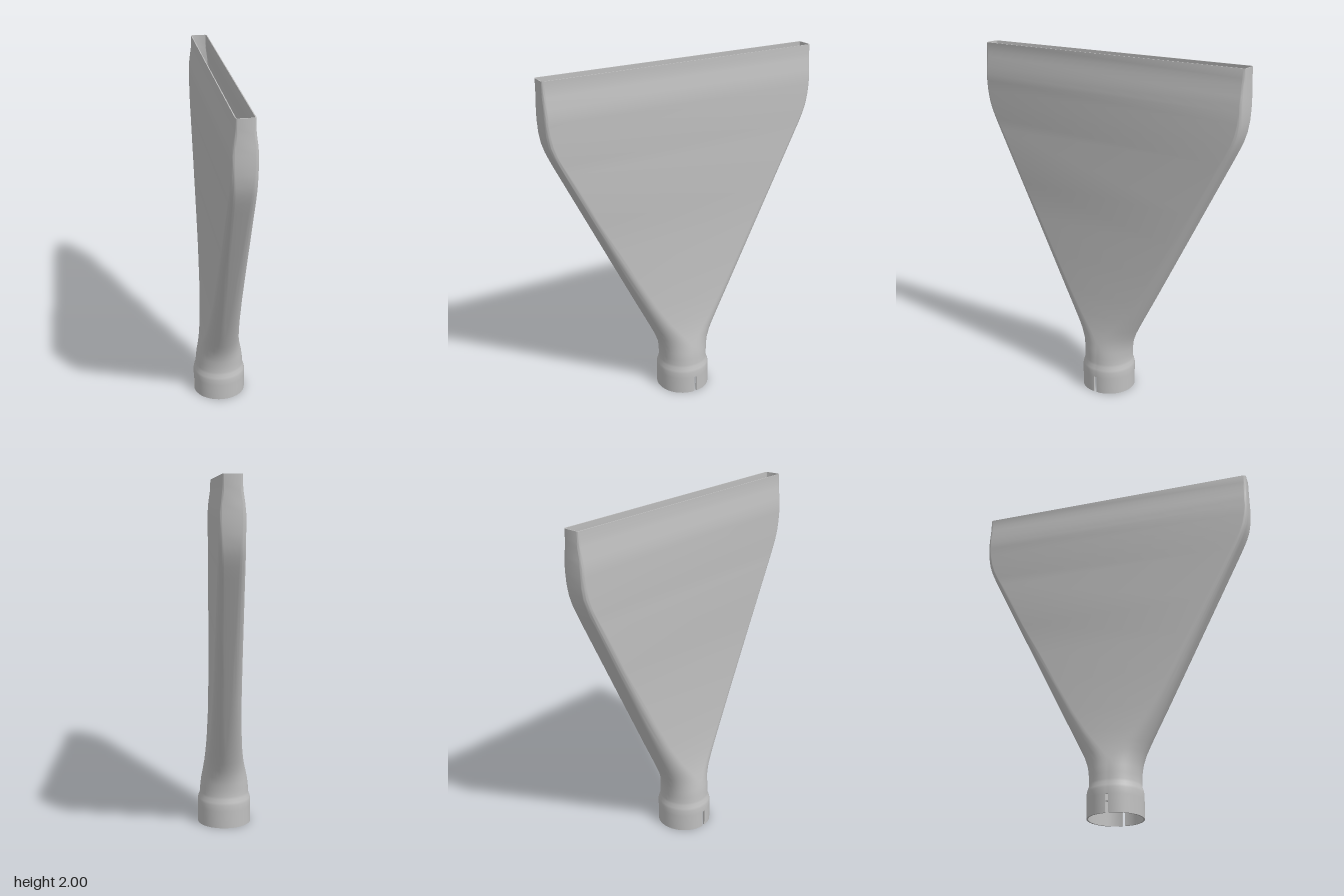
import * as THREE from 'three';
import { toCreasedNormals } from 'three/addons/utils/BufferGeometryUtils.js';

const SEG = 10;            // segments per corner
const SLOT = 0.008;        // half width of the collar slots
const SLOT_TOP = 0.1;

// Outer sections going up: y, half width x, half depth z, corner radius
const COLLAR = [
  [0, 0.155, 0.155, 1], [SLOT_TOP, 0.155, 0.155, 1], [0.135, 0.155, 0.155, 1],
  [0.15, 0.152, 0.152, 1], [0.17, 0.144, 0.145, 1],
];
const BODY = [
  [0.185, 0.142, 0.143, 1], [0.22, 0.14, 0.144, 1], [0.26, 0.135, 0.148, 1],
  [0.3, 0.127, 0.156, 0.145], [0.35, 0.116, 0.174, 0.135], [0.4, 0.107, 0.198, 0.12],
  [0.47, 0.098, 0.233, 0.1], [0.6, 0.088, 0.298, 0.08], [0.8, 0.08, 0.397, 0.064],
  [1, 0.076, 0.496, 0.054], [1.2, 0.073, 0.595, 0.045], [1.5, 0.069, 0.744, 0.034],
  [1.56, 0.0685, 0.773, 0.032], [1.61, 0.068, 0.795, 0.03], [1.66, 0.0675, 0.811, 0.028],
  [1.72, 0.067, 0.821, 0.025], [1.78, 0.067, 0.824, 0.022], [1.82, 0.066, 0.825, 0.021],
  [1.86, 0.062, 0.825, 0.02], [1.92, 0.053, 0.825, 0.017], [1.95, 0.05, 0.825, 0.015],
  [2, 0.049, 0.825, 0.014],
];

// Rounded rectangle (a circle where the radius is large), running from +x to +z
function section([y, hx, hz, r]) {
  const rx = Math.min(r, hx), rz = Math.min(r, hz - SLOT);
  const points = [];
  for (let q = 0; q < 4; q++) {
    const sx = q === 0 || q === 3 ? 1 : -1, sz = q < 2 ? 1 : -1;
    for (let k = 0; k <= SEG; k++) {
      const a = (q + k / SEG) * Math.PI / 2;
      points.push(new THREE.Vector3(
        sx * (hx - rx) + rx * Math.cos(a), y, sz * (hz - rz) + rz * Math.sin(a)));
    }
  }
  return points;
}

function inset([y, hx, hz, r], t) {
  return [y, hx - t, hz - t, Math.max(r - t, 0.006)];
}

function shellGeometry() {
  // Up the outside, over the rim, down the inside and back to the start
  const inside = BODY.map((s) => inset(s, THREE.MathUtils.lerp(0.012, 0.005, s[0] / 2)));
  const socket = [0.137, 0.135, SLOT_TOP, 0].map((y, i) => {
    const r = i === 0 ? 0.131 : 0.146;
    return [y, r, r, 1];
  });
  const rows = [...COLLAR, ...BODY, ...inside.reverse(), ...socket].map(section);
  const count = rows[0].length, last = rows.length - 1;
  const positions = [];
  const quad = (a, b, c, d) => {
    for (const p of [a, b, c, a, c, d]) positions.push(p.x, p.y, p.z);
  };
  const slots = [count - 1, 2 * (SEG + 1) - 1];

  for (let j = 0; j <= last; j++) {
    const low = rows[j], high = rows[(j + 1) % rows.length];
    const slotted = j === 0 || j >= last - 1;
    for (let i = 0; i < count; i++) {
      if (slotted && slots.includes(i)) continue;
      const n = (i + 1) % count;
      quad(low[i], high[i], high[n], low[n]);
    }
  }

  // Cut faces of the two slots
  const [o0, o1, i1, i0] = [rows[0], rows[1], rows[last - 1], rows[last]];
  for (const i of slots) {
    const n = (i + 1) % count;
    quad(o0[i], o1[i], i1[i], i0[i]);
    quad(i0[n], i1[n], o1[n], o0[n]);
    quad(o1[i], o1[n], i1[n], i1[i]);
  }

  const geometry = new THREE.BufferGeometry();
  geometry.setAttribute('position', new THREE.Float32BufferAttribute(positions, 3));
  return toCreasedNormals(geometry, 0.6);
}

export function createModel() {
  const grey = new THREE.MeshStandardMaterial({ color: 0xc0c0c0 });
  grey.name = 'light grey';

  const shell = new THREE.Mesh(shellGeometry(), grey);
  shell.name = 'nozzleShell';

  const model = new THREE.Group();
  model.name = 'flatNozzle';
  model.add(shell);
  return model;
}
